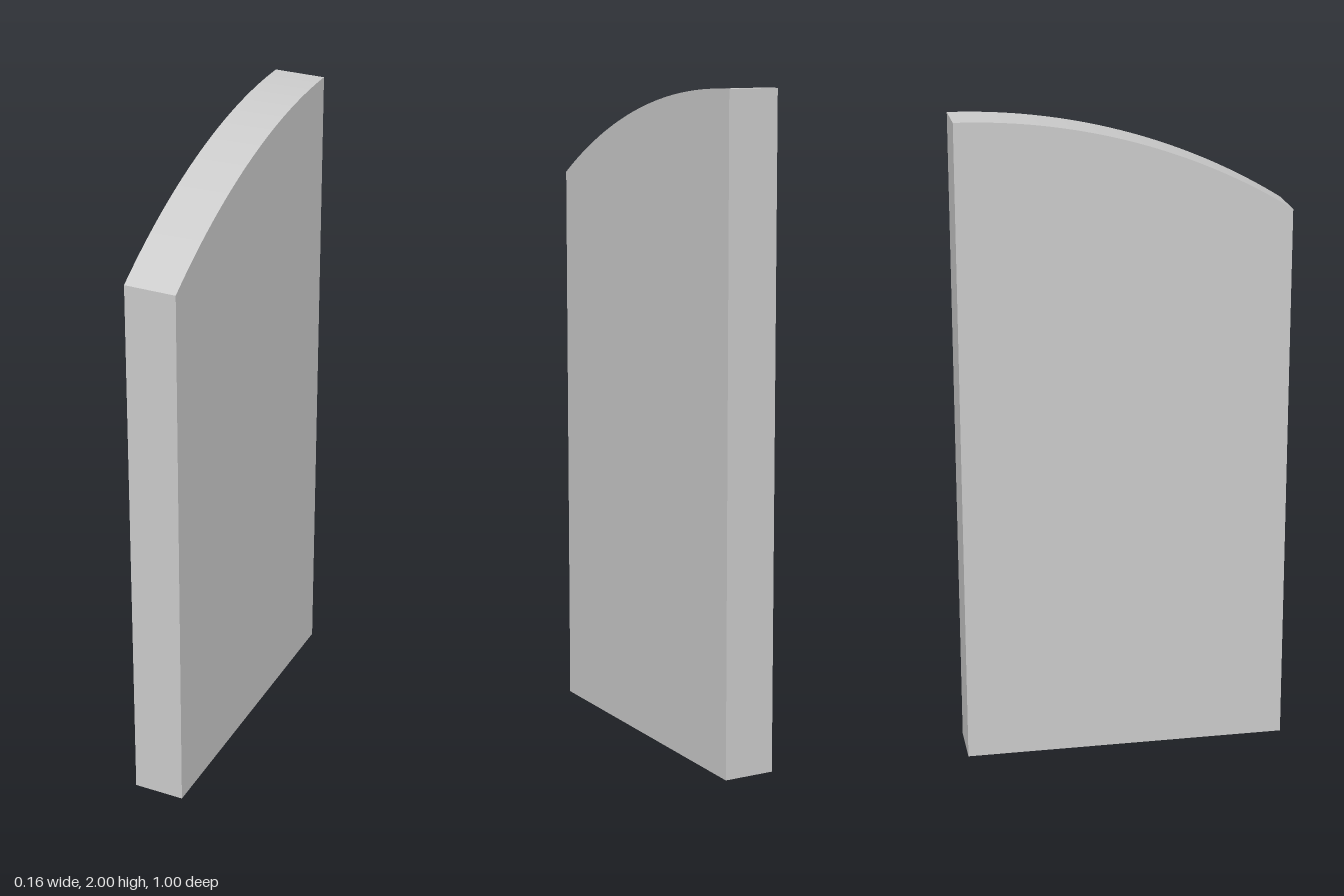
import * as THREE from 'three';
import { toCreasedNormals } from 'three/addons/utils/BufferGeometryUtils.js';

const WIDTH = 0.158;
const HALF_DEPTH = 0.5;
const HEIGHT = 2;
const FRONT_HEIGHT = 1.707;

export function createModel() {
  const group = new THREE.Group();
  const material = new THREE.MeshStandardMaterial({ color: 0xcccccc });

  // Side profile: the top is a circular arc, level at the back and falling to the front
  const drop = HEIGHT - FRONT_HEIGHT;
  const run = 2 * HALF_DEPTH;
  const radius = (run * run + drop * drop) / (2 * drop);
  const sweep = Math.asin(run / radius);

  const profile = new THREE.Shape();
  profile.moveTo(-HALF_DEPTH, 0);
  profile.lineTo(HALF_DEPTH, 0);
  profile.lineTo(HALF_DEPTH, HEIGHT);
  profile.absarc(HALF_DEPTH, HEIGHT - radius, radius, Math.PI / 2, Math.PI / 2 + sweep, false);
  profile.closePath();

  // Extrude across the thickness, then turn the profile to run front to back
  const extruded = new THREE.ExtrudeGeometry(profile, {
    depth: WIDTH,
    bevelEnabled: false,
    curveSegments: 32,
  });
  extruded.translate(0, 0, -WIDTH / 2);
  extruded.rotateY(Math.PI / 2);

  const panel = new THREE.Mesh(toCreasedNormals(extruded, 0.5), material);
  panel.name = 'curvedTopPanel';
  group.add(panel);
  return group;
}
